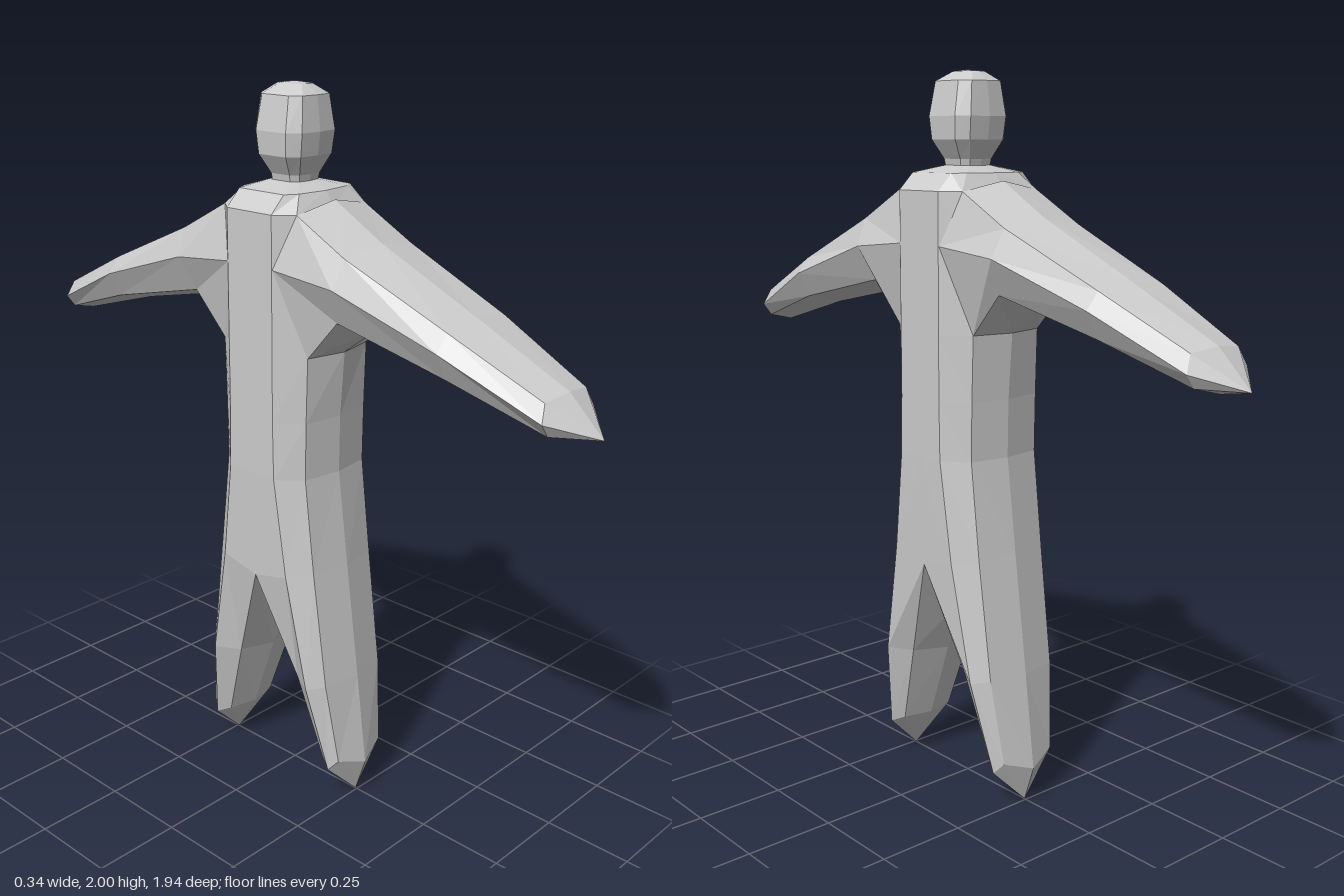
import * as THREE from 'three';

const material = new THREE.MeshStandardMaterial({ color: 0xcccccc, flatShading: true });

// Skins a list of half rings (each runs from x = 0 through +x back to x = 0), mirrored in x.
// side = -1 mirrors the result in z.
function loft(name, halfRings, side = 1) {
  const rings = halfRings.map((half) => [
    ...half,
    ...half.slice(1, -1).reverse().map(([x, y, z]) => [-x, y, z]),
  ]);
  const pos = [];
  const tri = (...pts) => {
    const [a, b, c] = pts.map((p) => new THREE.Vector3(p[0], p[1], p[2] * side));
    if (new THREE.Triangle(a, b, c).getArea() < 1e-8) return;
    const order = side > 0 ? [a, b, c] : [a, c, b];
    order.forEach((v) => pos.push(v.x, v.y, v.z));
  };
  for (let i = 0; i < rings.length - 1; i++) {
    const r = rings[i], s = rings[i + 1], n = r.length;
    for (let j = 0; j < n; j++) {
      const k = (j + 1) % n;
      tri(r[j], s[j], r[k]);
      tri(r[k], s[j], s[k]);
    }
  }
  const geo = new THREE.BufferGeometry();
  geo.setAttribute('position', new THREE.Float32BufferAttribute(pos, 3));
  geo.computeVertexNormals();
  const mesh = new THREE.Mesh(geo, material);
  mesh.name = name;
  return mesh;
}

const point = (x, y, z) => Array(5).fill([x, y, z]);

// Half of the trunk at height y: bulged outer face, chamfer, flat flank up to the middle plane
const trunk = (y, zOuter, zEdge, xEdge, zFlank, xFlank) => [
  [0, y, zOuter], [xEdge, y, zEdge], [xFlank, y, zFlank], [xFlank, y, 0], [0, y, 0],
];

// Trunk running down into one leg
const bodyHalf = [
  trunk(1.755, 0.045, 0.045, 0.03, 0.03, 0.045),
  trunk(1.735, 0.11, 0.1, 0.09, 0.08, 0.125),
  trunk(1.69, 0.14, 0.13, 0.13, 0.08, 0.17),
  trunk(1.55, 0.16, 0.14, 0.125, 0.08, 0.17),
  trunk(1.32, 0.18, 0.155, 0.115, 0.08, 0.17),
  trunk(1.14, 0.167, 0.15, 0.115, 0.08, 0.17),
  trunk(0.98, 0.165, 0.148, 0.115, 0.083, 0.17),
  // crotch, lower in the middle than at the flanks
  [[0, 0.71, 0.2], [0.115, 0.71, 0.18], [0.163, 0.7, 0.12], [0.16, 0.67, 0], [0, 0.55, 0]],
  [[0, 0.38, 0.245], [0.112, 0.38, 0.225], [0.15, 0.37, 0.185], [0.11, 0.37, 0.115], [0, 0.36, 0.09]],
  [[0, 0.11, 0.28], [0.088, 0.14, 0.255], [0.105, 0.11, 0.23], [0.085, 0.13, 0.19], [0, 0.13, 0.17]],
  point(0, 0.005, 0.245),
];

// Arm from the shoulder to the pointed hand
const arm = [
  [[0, 1.715, 0.14], [0.13, 1.69, 0.13], [0.169, 1.55, 0.08], [0.115, 1.32, 0.155], [0, 1.32, 0.18]],
  [[0, 1.625, 0.3], [0.13, 1.605, 0.29], [0.165, 1.53, 0.28], [0.12, 1.435, 0.26], [0, 1.4, 0.29]],
  [[0, 1.49, 0.6], [0.115, 1.475, 0.6], [0.152, 1.43, 0.6], [0.115, 1.36, 0.6], [0, 1.335, 0.6]],
  [[0, 1.365, 0.87], [0.085, 1.355, 0.86], [0.107, 1.31, 0.87], [0.08, 1.275, 0.87], [0, 1.255, 0.88]],
  point(0, 1.27, 0.97),
];

// Head section: a rounded square of half width w and half depth d
const headRing = ([y, w, d]) => [
  [0, y, d], [w * 0.68, y, d * 0.94], [w, y, d * 0.6],
  [w, y, -d * 0.6], [w * 0.68, y, -d * 0.94], [0, y, -d],
];

const head = [
  [2.0, 0, 0], [1.995, 0.03, 0.045], [1.97, 0.073, 0.078], [1.88, 0.09, 0.088],
  [1.82, 0.085, 0.08], [1.77, 0.055, 0.055], [1.74, 0.05, 0.05],
].map(headRing);

export function createModel() {
  const model = new THREE.Group();
  model.name = 'figure';
  for (const [label, side] of [['front', 1], ['back', -1]]) {
    model.add(loft(label + 'BodyAndLeg', bodyHalf, side));
    model.add(loft(label + 'Arm', arm, side));
  }
  model.add(loft('headAndNeck', head));
  return model;
}
